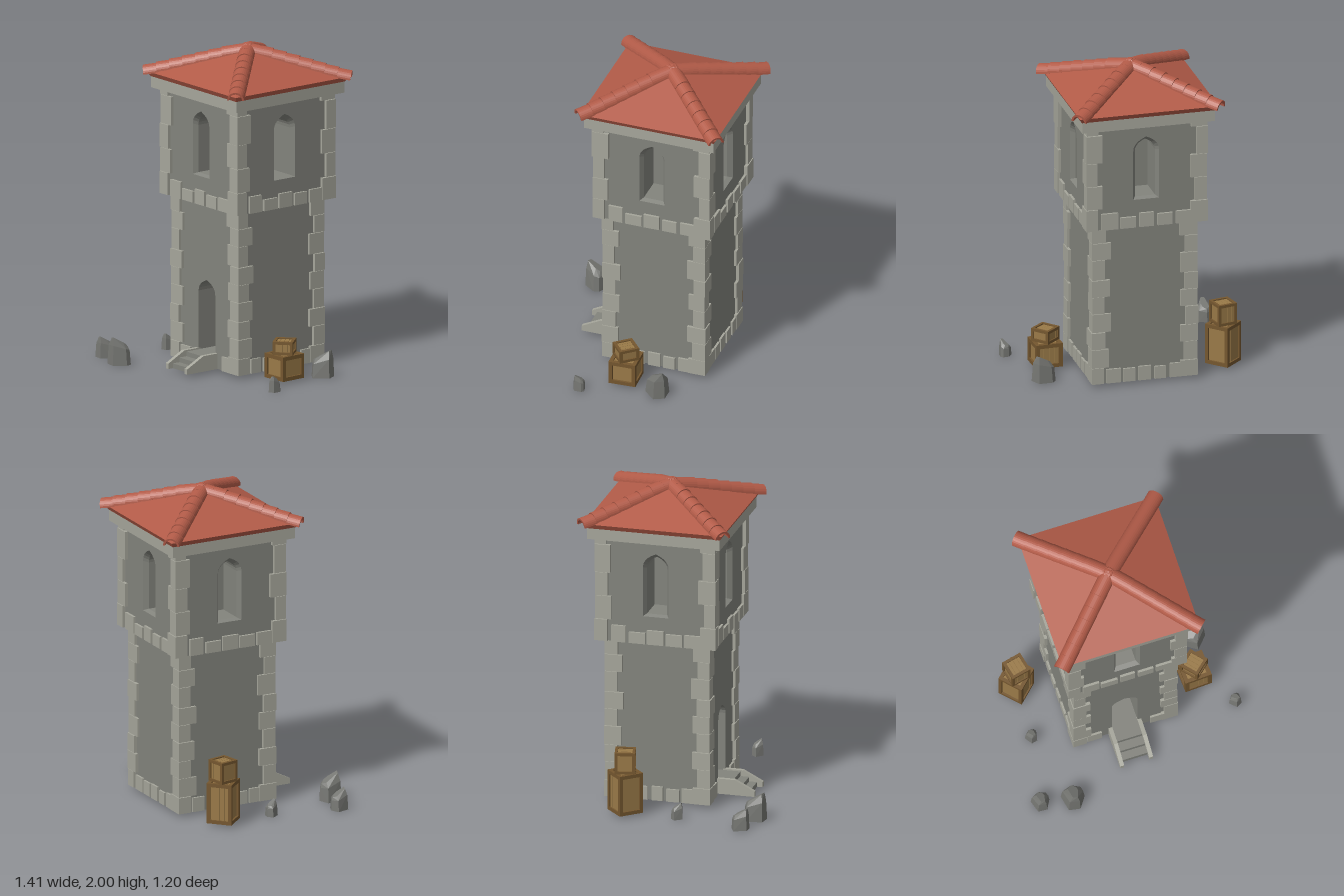
import * as THREE from 'three';
import { ConvexGeometry } from 'three/addons/geometries/ConvexGeometry.js';

const mat = (color) => new THREE.MeshStandardMaterial({ color, flatShading: true, side: THREE.DoubleSide });
const WALL = mat(0x83847d), STONE = mat(0xa6a69b), ROCK = mat(0x767773);
const TILE = mat(0xb25b48), WOOD = mat(0x9a7a48), FRAME = mat(0x75572f);

let seed = 7;
const rand = (a, b) => {
  seed = (seed * 16807) % 2147483647;
  return a + (b - a) * (seed / 2147483647);
};

function add(parent, name, geometry, material, x = 0, y = 0, z = 0) {
  const m = new THREE.Mesh(geometry, material);
  m.name = name;
  m.position.set(x, y, z);
  parent.add(m);
  return m;
}
const box = (parent, name, material, w, h, d, x, y, z) =>
  add(parent, name, new THREE.BoxGeometry(w, h, d), material, x, y, z);

function group(parent, name) {
  const g = new THREE.Group();
  g.name = name;
  parent.add(g);
  return g;
}

// Outline of a pointed-arch opening, always with the same number of points
function archPoints({ w, bottom, spring, top }) {
  const s = new THREE.Shape();
  s.moveTo(-w / 2, bottom);
  s.lineTo(w / 2, bottom);
  s.lineTo(w / 2, spring);
  s.quadraticCurveTo(w / 2, (spring + top) / 2 + 0.012, 0, top);
  s.quadraticCurveTo(-w / 2, (spring + top) / 2 + 0.012, -w / 2, spring);
  return s.getPoints(5);
}

// Jambs lofted through rings of [outline, z], closed at the back
function recess(parent, rings) {
  const pos = [];
  for (let r = 0; r < rings.length - 1; r++) {
    const [a, za] = rings[r], [b, zb] = rings[r + 1];
    for (let i = 0; i < a.length; i++) {
      const j = (i + 1) % a.length;
      const p = [a[i].x, a[i].y, za], q = [a[j].x, a[j].y, za];
      const s = [b[i].x, b[i].y, zb], t = [b[j].x, b[j].y, zb];
      pos.push(...p, ...q, ...t, ...p, ...t, ...s);
    }
  }
  const g = new THREE.BufferGeometry();
  g.setAttribute('position', new THREE.Float32BufferAttribute(pos, 3));
  g.computeVertexNormals();
  add(parent, 'openingJambs', g, WALL);
  const [back, z] = rings[rings.length - 1];
  add(parent, 'openingBack', new THREE.ShapeGeometry(new THREE.Shape(back)), WALL, 0, 0, z);
}

// One wall facing +z, with an optional arched opening
function wall(parent, half, y0, y1, rings) {
  const s = new THREE.Shape([[-half, y0], [half, y0], [half, y1], [-half, y1]].map((p) => new THREE.Vector2(...p)));
  if (rings) {
    s.holes.push(new THREE.Path(rings[0][0]));
    recess(parent, rings);
  }
  add(parent, 'wall', new THREE.ShapeGeometry(s), WALL);
}

// Corner stones stacked between the given heights
function quoins(parent, half, levels, shortLen, longLen) {
  for (const sx of [-1, 1]) for (const sz of [-1, 1]) {
    for (let i = 0; i < levels.length - 1; i++) {
      const h = levels[i + 1] - levels[i];
      const flip = (i + (sx * sz > 0 ? 1 : 0)) % 2;
      const wx = (flip ? longLen : shortLen) + rand(-0.008, 0.008);
      const wz = (flip ? shortLen : longLen) + rand(-0.008, 0.008);
      const e = half + rand(-0.004, 0.002);
      box(parent, 'cornerStone', STONE, wx, h - 0.003, wz,
        sx * (e - wx / 2), levels[i] + h / 2, sz * (e - wz / 2));
    }
  }
}

// A row of stones along one wall
function stoneRow(parent, half, y, heights, skip) {
  const span = 2 * (half - 0.09), step = span / heights.length;
  heights.forEach((h, i) => {
    const x = -span / 2 + step * (i + 0.5);
    if (Math.abs(x) < skip) return;
    box(parent, 'rowStone', STONE, step - rand(0.006, 0.03), h, 0.06, x, y + h / 2, half - 0.035);
  });
}

function stairs(parent) {
  const g = group(parent, 'stairs');
  const ends = [0.41, 0.465, 0.515];
  ends.forEach((z, i) => {
    const h = 0.088 - i * 0.029;
    box(g, 'step', WALL, 0.165, h, z - 0.3, 0, 0.025 + h / 2, (z + 0.3) / 2);
  });
  // Sloping side stones
  const s = new THREE.Shape([[0.3, 0.025], [0.55, 0.025], [0.55, 0.058], [0.425, 0.122], [0.3, 0.122]]
    .map((p) => new THREE.Vector2(...p)));
  for (const x of [-0.08, 0.105]) {
    const m = add(g, 'stairCheek', new THREE.ExtrudeGeometry(s, { depth: 0.025, bevelEnabled: false }), STONE, x);
    m.rotation.y = -Math.PI / 2;
  }
}

function roof(parent) {
  const g = group(parent, 'roof'), R = 0.437 * Math.SQRT2;
  const eave = add(g, 'eave', new THREE.CylinderGeometry(R, 0.42 * Math.SQRT2, 0.03, 4), TILE, 0, 1.785, 0);
  const top = add(g, 'roofSlopes', new THREE.ConeGeometry(R, 0.168, 4), TILE, 0, 1.884, 0);
  eave.rotation.y = top.rotation.y = Math.PI / 4;
  // Overlapping half-round tiles down each hip
  const arc = new THREE.Shape();
  arc.absarc(0, 0, 0.051, 0, Math.PI, false);
  arc.absarc(0, 0, 0.039, Math.PI, 0, true);
  const n = 8, len = 0.64 / n;
  const tile = new THREE.ExtrudeGeometry(arc, { depth: len * 1.2, bevelEnabled: false, curveSegments: 7 });
  for (let k = 0; k < 4; k++) {
    const hip = group(g, 'hipTiles');
    hip.rotation.y = Math.PI / 4 + k * Math.PI / 2;
    for (let i = 0; i < n; i++) {
      const d = i * len - 0.024;
      const t = add(hip, 'hipTile', tile, TILE, 0, 1.947 - Math.max(d, 0) * 0.265, d);
      t.rotation.x = 0.175;
    }
  }
  add(g, 'roofPeak', new THREE.SphereGeometry(0.05, 8, 6), TILE, 0, 1.95, 0);
}

function crate(parent, w, h, x, y, z, turn) {
  const g = group(parent, 'crate'), b = w * 0.14, n = 4;
  g.position.set(x, y, z);
  g.rotation.y = turn;
  // Planked core
  for (let i = 0; i < n; i++) {
    const p = (w - b) / n;
    box(g, 'plank', WOOD, p - 0.002, h - b * 0.8, w - b * 0.8, -(w - b) / 2 + p * (i + 0.5), h / 2, 0);
  }
  // Edge beams
  const e = w / 2 - b / 2;
  for (const s of [-1, 1]) for (const t of [-1, 1]) {
    const yy = h / 2 + t * (h / 2 - b / 2);
    box(g, 'post', FRAME, b, h, b, s * e, h / 2, t * e);
    box(g, 'railX', FRAME, w - 2 * b, b, b, 0, yy, s * e);
    box(g, 'railZ', FRAME, b, b, w - 2 * b, s * e, yy, 0);
  }
}

// Faceted boulder with a slanting top, highest toward its own +z
function rock(parent, w, h, x, z, turn) {
  const outline = [[-0.5, -0.3], [0, -0.48], [0.45, -0.25], [0.5, 0], [0.15, 0.5], [-0.35, 0.42]];
  const pts = [];
  for (const [px, pz] of outline) {
    pts.push(new THREE.Vector3(px * w, 0, pz * w));
    pts.push(new THREE.Vector3(px * w * 0.85, h * (0.6 + 0.25 * pz), pz * w * 0.92));
    pts.push(new THREE.Vector3(px * w * 0.4, h * (0.82 + 0.4 * pz), pz * w * 0.8));
  }
  add(parent, 'rock', new ConvexGeometry(pts), ROCK, x, 0.005, z).rotation.y = turn;
}

export function createModel() {
  const root = new THREE.Group();
  root.name = 'watchtower';
  const tower = group(root, 'tower');
  tower.position.set(-0.027, 0, -0.115);

  const frame = archPoints({ w: 0.163, bottom: 1.215, spring: 1.53, top: 1.62 });
  const inner = archPoints({ w: 0.127, bottom: 1.225, spring: 1.52, top: 1.595 });
  const door = archPoints({ w: 0.163, bottom: 0.113, spring: 0.48, top: 0.56 });
  const windowRings = [[frame, 0], [inner, -0.03], [inner, -0.2]];
  const doorRings = [[door, 0], [door, -0.3]];

  // Four sides, the first one holding the door
  for (let k = 0; k < 4; k++) {
    const side = group(tower, 'side');
    side.rotation.y = k * Math.PI / 2;
    const low = group(side, 'lowerWall'), up = group(side, 'upperWall');
    low.position.z = 0.315;
    up.position.z = 0.36;
    wall(low, 0.315, 0.025, 1.04, k === 0 ? doorRings : null);
    wall(up, 0.36, 1.04, 1.71, windowRings);
    stoneRow(side, 0.333, 0.025, [0.09, 0.085, 0.09, 0.08, 0.09], k === 0 ? 0.12 : 0);
    stoneRow(side, 0.38, 1.04, [0.105, 0.07, 0.09, 0.075, 0.08], 0);
  }
  box(tower, 'baseSlab', WALL, 0.63, 0.02, 0.63, 0, 0.036, 0);
  box(tower, 'overhangSlab', WALL, 0.72, 0.02, 0.72, 0, 1.051, 0);
  box(tower, 'cornice', STONE, 0.834, 0.07, 0.834, 0, 1.735, 0);

  quoins(tower, 0.333, [0.025, 0.13, 0.25, 0.36, 0.48, 0.59, 0.7, 0.83, 0.94, 1.04], 0.08, 0.112);
  quoins(tower, 0.38, [1.04, 1.18, 1.33, 1.48, 1.66, 1.7], 0.073, 0.1);
  stairs(tower);
  roof(tower);

  // Stacked crates on both sides
  crate(root, 0.16, 0.255, -0.57, 0.02, -0.256, 0.76);
  crate(root, 0.125, 0.135, -0.57, 0.275, -0.256, 0.22);
  crate(root, 0.17, 0.152, 0.478, 0.02, 0, 0.05);
  crate(root, 0.125, 0.083, 0.478, 0.172, 0, 0.72);

  // Scattered rocks: width, height, x, z, turn
  for (const r of [
    [0.14, 0.17, -0.46, 0.53, 0], [0.11, 0.13, -0.655, 0.49, 0.1], [0.075, 0.1, -0.577, 0.07, 0.4],
    [0.14, 0.165, 0.55, -0.235, 2.2], [0.075, 0.1, 0.67, 0.23, 0.6],
  ]) rock(root, ...r);
  return root;
}
